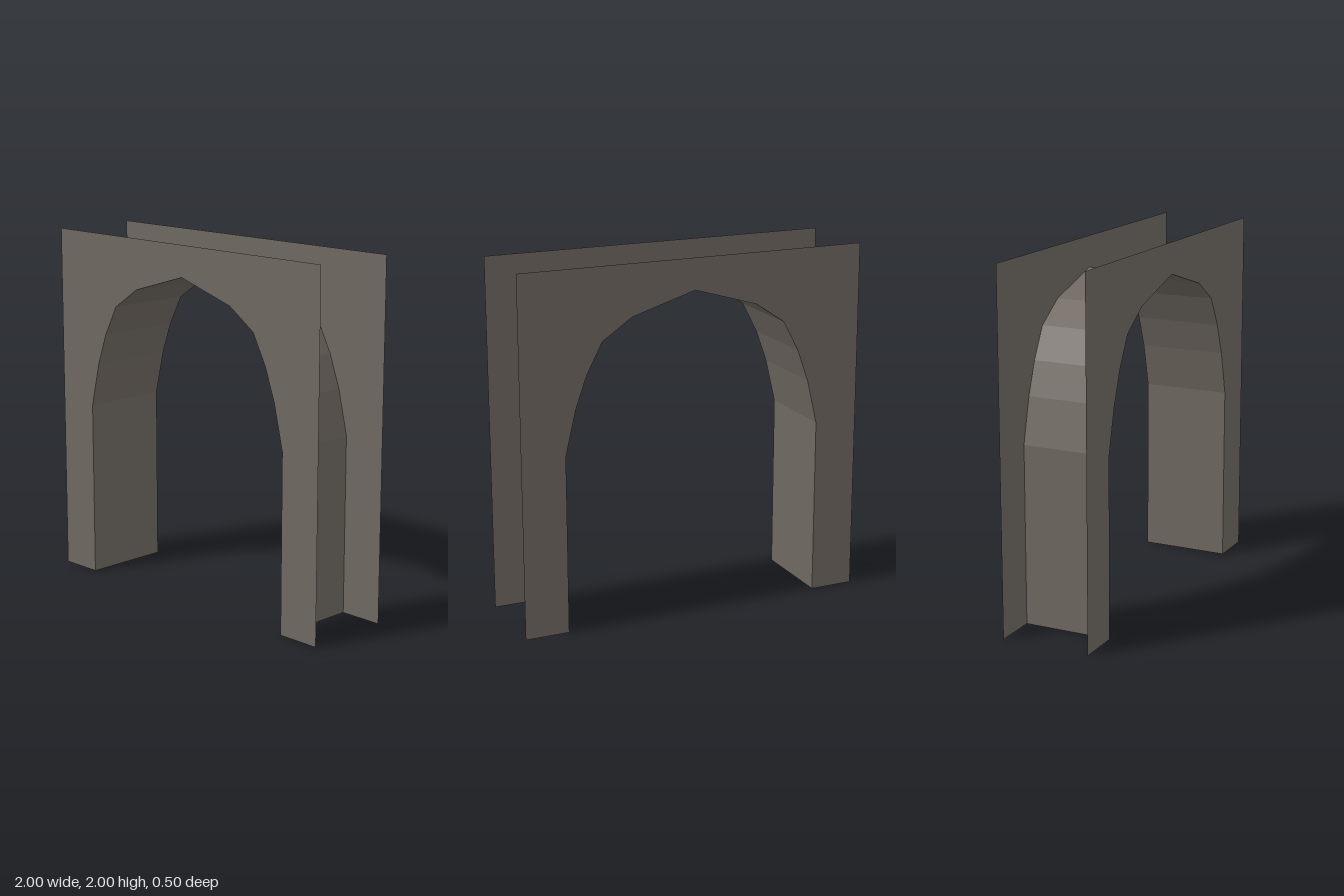
import * as THREE from 'three';

export function createModel() {
  const group = new THREE.Group();
  group.name = 'archway';

  const stone = new THREE.MeshStandardMaterial({ color: 0x6f6861 });
  stone.name = 'grey brown stone';
  stone.side = THREE.DoubleSide;
  stone.flatShading = true;

  const depth = 0.5;

  // Opening outline: left jamb up to the apex, then mirrored down the other jamb
  const half = [[0.75, 0], [0.75, 1], [0.69, 1.25], [0.625, 1.43], [0.535, 1.6], [0.365, 1.715], [0, 1.825]];
  const opening = [...half, ...half.slice(0, -1).reverse().map(([x, y]) => [-x, y])];

  // Thin wall faces with the arch cut out
  const outline = [[-1, 0], [-1, 2], [1, 2], [1, 0], ...opening].map(([x, y]) => new THREE.Vector2(x, y));
  const wall = new THREE.ShapeGeometry(new THREE.Shape(outline));
  const front = new THREE.Mesh(wall, stone);
  front.name = 'frontWall';
  front.position.z = depth / 2;
  const back = new THREE.Mesh(wall, stone);
  back.name = 'backWall';
  back.rotation.y = Math.PI;
  back.position.z = -depth / 2;
  group.add(front, back);

  // Open strip lining the arch, facing into the passage
  const positions = [];
  for (let i = 0; i < opening.length - 1; i++) {
    const [ax, ay] = opening[i];
    const [bx, by] = opening[i + 1];
    const f = depth / 2;
    positions.push(ax, ay, f, bx, by, f, bx, by, -f);
    positions.push(ax, ay, f, bx, by, -f, ax, ay, -f);
  }
  const strip = new THREE.BufferGeometry();
  strip.setAttribute('position', new THREE.Float32BufferAttribute(positions, 3));
  strip.computeVertexNormals();
  const lining = new THREE.Mesh(strip, stone);
  lining.name = 'archLining';
  group.add(lining);

  return group;
}
